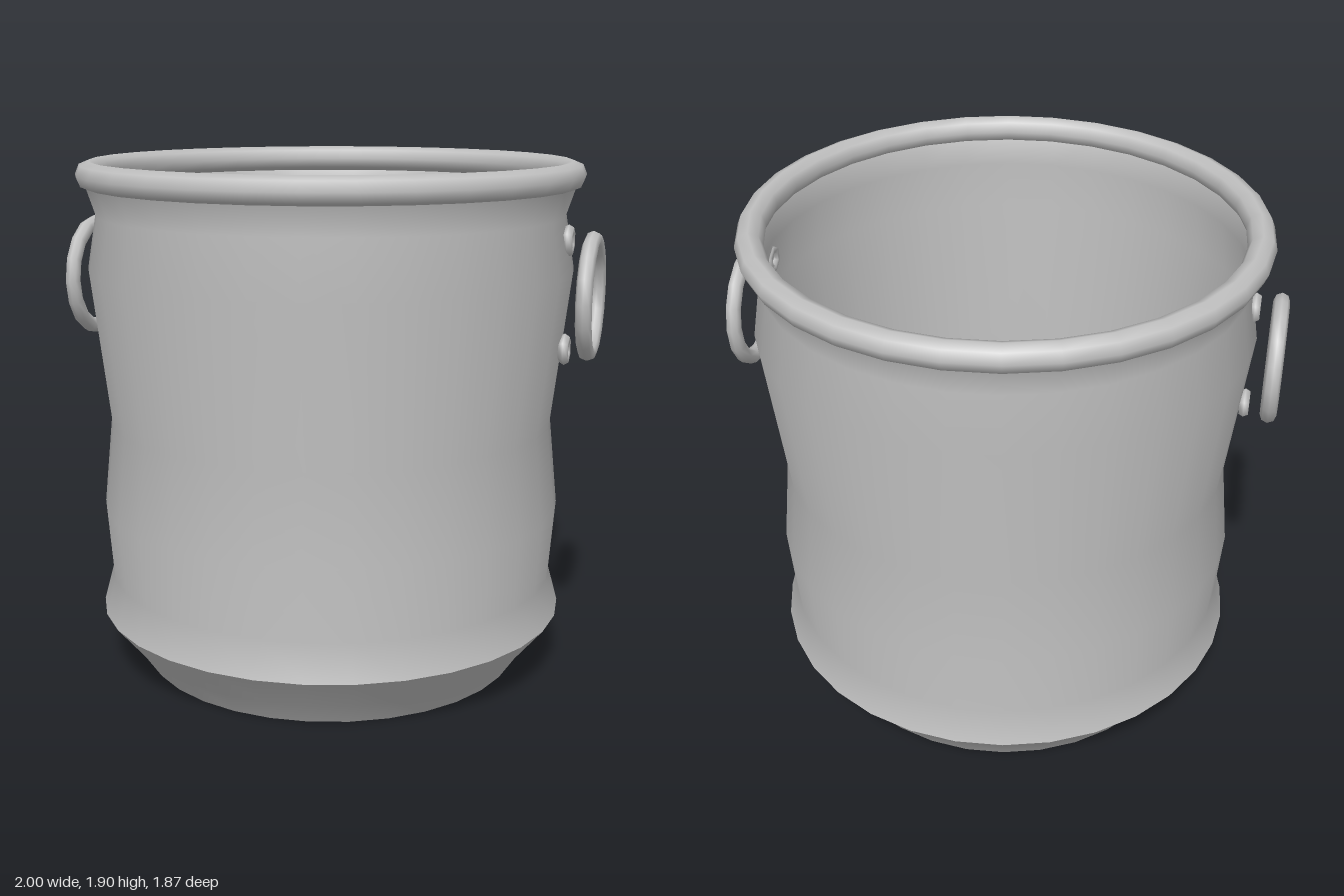
import * as THREE from 'three';

const SIDES = 32;

export function createModel() {
  const group = new THREE.Group();
  const metal = new THREE.MeshStandardMaterial({ color: 0xc0c0c0, side: THREE.DoubleSide });
  metal.name = 'grey metal';

  const add = (name, geometry, parent = group) => {
    const mesh = new THREE.Mesh(geometry, metal);
    mesh.name = name;
    parent.add(mesh);
    return mesh;
  };
  const lathe = (profile) =>
    new THREE.LatheGeometry(profile.map(([r, y]) => new THREE.Vector2(r, y)), SIDES);

  // Thin open shell: tapered foot, then the wavy wall with a sharp edge between
  add('floor', new THREE.CircleGeometry(0.72, SIDES).rotateX(Math.PI / 2));
  add('foot', lathe([[0.72, 0], [0.78, 0.088], [0.885, 0.215]]));
  add('wall', lathe([
    [0.885, 0.215], [0.848, 0.35], [0.868, 0.615], [0.834, 0.94],
    [0.9, 1.51], [0.866, 1.71], [0.902, 1.82],
  ]));

  // Rolled rim
  add('rim', new THREE.TorusGeometry(0.884, 0.05, 8, SIDES).rotateX(Math.PI / 2)).position.y = 1.855;

  // Ring handle and its two six-sided eyelets on each side
  for (const side of [1, -1]) {
    const handle = new THREE.Group();
    handle.name = side > 0 ? 'leftHandle' : 'rightHandle';
    group.add(handle);

    const ring = add('handleRing', new THREE.TorusGeometry(0.204, 0.029, 8, 16).rotateY(Math.PI / 2), handle);
    ring.position.set(side * 0.97, 1.437, 0);

    for (const y of [1.632, 1.24]) {
      const eyelet = new THREE.TorusGeometry(0.038, 0.02, 6, 6).rotateZ(Math.PI / 2).rotateY(Math.PI / 2);
      add('eyelet', eyelet, handle).position.set(side * 0.883, y, 0);
    }
  }
  return group;
}
